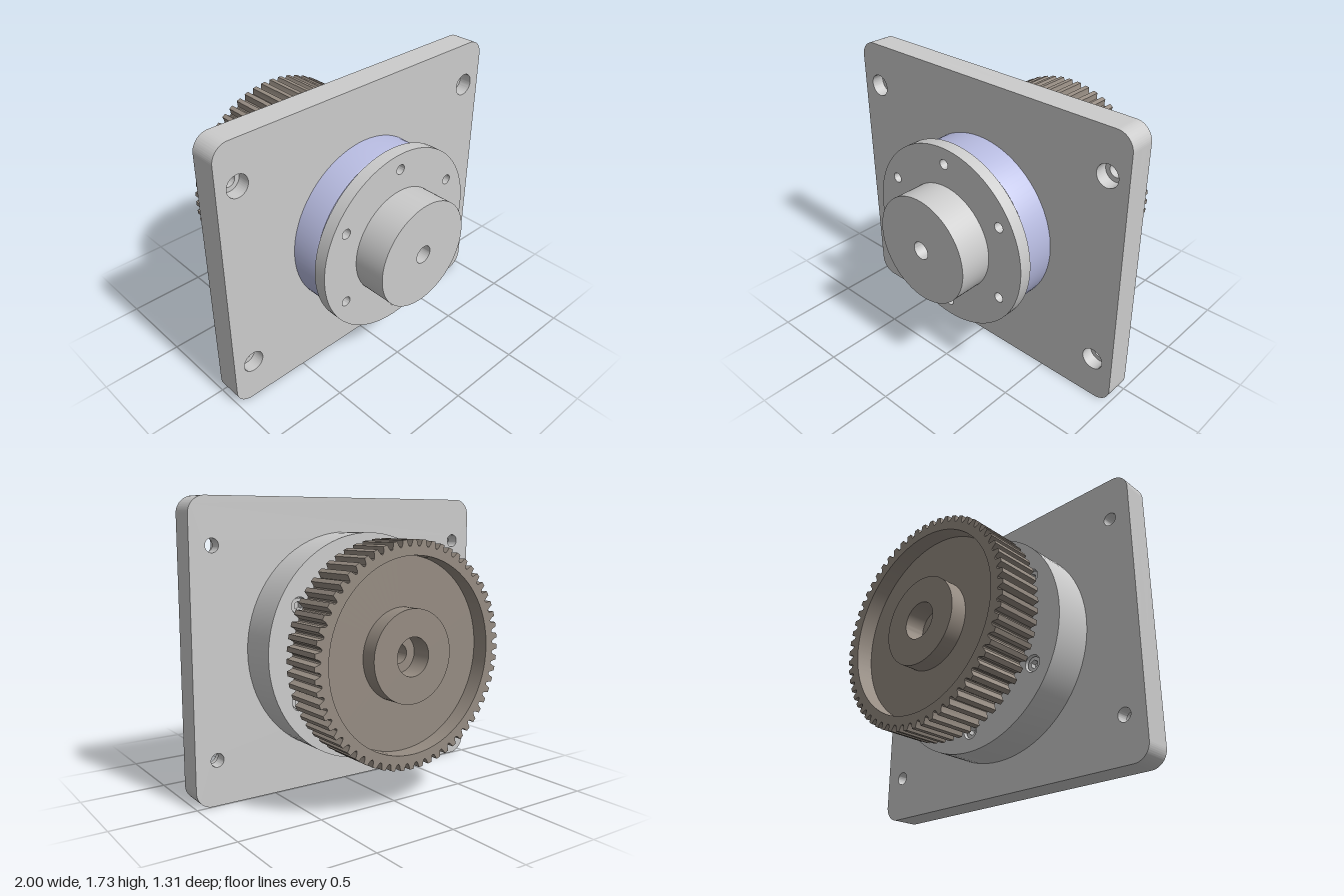
import * as THREE from 'three';
import { toCreasedNormals } from 'three/addons/utils/BufferGeometryUtils.js';

const TAU = Math.PI * 2;
const BORE = 0.055;
const grey = new THREE.MeshStandardMaterial({ color: 0xcccccc });
const lilac = new THREE.MeshStandardMaterial({ color: 0xb6badf });
const brown = new THREE.MeshStandardMaterial({ color: 0x968c82 });

export function createModel() {
  const model = new THREE.Group();
  const axis = new THREE.Group(); // everything is laid out around the shaft axis
  axis.name = 'driveAssembly';
  axis.position.y = 0.867;
  model.add(axis);

  const add = (name, geometry, material, parent = axis) => {
    const mesh = new THREE.Mesh(toCreasedNormals(geometry, 0.5), material);
    mesh.name = name;
    parent.add(mesh);
    return mesh;
  };
  const circle = (r, x = 0, y = 0) => new THREE.Shape().absarc(x, y, r, 0, TAU, false);
  const hole = (shape, r, x = 0, y = 0) => shape.holes.push(new THREE.Path().absarc(x, y, r, 0, TAU, true));
  const slab = (shape, z0, z1) => new THREE.ExtrudeGeometry(shape, {
    depth: z1 - z0, bevelEnabled: false, curveSegments: 40,
  }).translate(0, 0, z0);
  // closed [radius, z] profile, outer side running toward +z
  const turned = (profile) => new THREE.LatheGeometry(
    [...profile, profile[0]].map(([r, z]) => new THREE.Vector2(r, z)), 80).rotateX(Math.PI / 2);
  const ring6 = (r) => Array.from({ length: 6 }, (_, i) => {
    const a = Math.PI / 6 + i * Math.PI / 3;
    return [r * Math.cos(a), r * Math.sin(a)];
  });

  // Mounting plate in two layers, so the corner holes are counterbored
  const plateShape = (cornerHole) => {
    const w = 1, h = 0.867, r = 0.1, s = new THREE.Shape();
    s.absarc(w - r, h - r, r, 0, TAU / 4, false);
    s.absarc(-w + r, h - r, r, TAU / 4, TAU / 2, false);
    s.absarc(-w + r, -h + r, r, TAU / 2, TAU * 0.75, false);
    s.absarc(w - r, -h + r, r, TAU * 0.75, TAU, false);
    s.closePath();
    for (const x of [-0.867, 0.867]) for (const y of [-0.6, 0.6]) hole(s, cornerHole, x, y);
    hole(s, 0.53);
    return s;
  };
  add('plateBack', slab(plateShape(0.04), 0.003, 0.085), grey);
  add('plateFront', slab(plateShape(0.067), 0.085, 0.163), grey);

  // Bearing body with small rounded edge
  add('bearing', turned([[BORE, -0.15], [0.53, -0.15], [0.53, 0.333], [0.5265, 0.3415],
    [0.518, 0.345], [BORE, 0.345]]), lilac);

  // Rear housing with six recessed screws
  const housing = circle(0.665);
  hole(housing, BORE);
  ring6(0.54).forEach(([x, y]) => hole(housing, 0.05, x, y));
  add('housing', slab(housing, -0.24, 0.003), grey);

  const hexHead = circle(0.043);
  const hex = new THREE.Path();
  hex.setFromPoints(ring6(0.025).reverse().map(([x, y]) => new THREE.Vector2(x, y)));
  hexHead.holes.push(hex);
  ring6(0.54).forEach(([x, y]) => {
    const screw = new THREE.Group();
    screw.name = 'housingScrew';
    screw.position.set(x, y, 0);
    add('screwSocket', slab(hexHead, -0.225, -0.19), grey, screw);
    add('screwBody', slab(circle(0.05), -0.19, -0.15), grey, screw);
    axis.add(screw);
  });

  // Output neck, drilled flange and hub
  add('neck', turned([[BORE, 0.345], [0.365, 0.345], [0.365, 0.376], [BORE, 0.376]]), grey);
  const flange = circle(0.565);
  hole(flange, BORE);
  ring6(0.467).forEach(([x, y]) => hole(flange, 0.03, x, y));
  add('outputFlange', slab(flange, 0.375, 0.453), grey);
  add('outputHub', turned([[BORE, 0.453], [0.33, 0.453], [0.33, 0.655], [BORE, 0.655]]), grey);

  // Claw coupling: grey jaws above and below, brown tongue across
  const R = 0.265, a = Math.asin(0.135 / R);
  add('couplingBase', turned([[BORE, -0.25], [R, -0.25], [R, -0.24], [BORE, -0.24]]), grey);
  for (const turn of [0, Math.PI]) {
    const jaw = new THREE.Shape().absarc(0, 0, R, a, Math.PI - a, false);
    jaw.closePath();
    add('couplingJaw', slab(jaw, -0.32, -0.25), grey).rotation.z = turn;
  }
  const tongue = new THREE.Shape();
  tongue.absarc(0, 0, R, -a, a, false);
  tongue.absarc(0, 0, R, Math.PI - a, Math.PI + a, false);
  tongue.closePath();
  hole(tongue, BORE);
  add('couplingTongue', slab(tongue, -0.32, -0.25), brown);

  // Toothed pulley rim
  const teeth = 60;
  const tooth = [[0, 0.635], [0.4, 0.635], [0.48, 0.615], [0.58, 0.601], [0.7, 0.597], [0.82, 0.601], [0.92, 0.615]];
  const outline = [];
  for (let i = 0; i < teeth; i++) {
    for (const [t, r] of tooth) {
      const angle = (i + t - 0.2) / teeth * TAU;
      outline.push(new THREE.Vector2(r * Math.cos(angle), r * Math.sin(angle)));
    }
  }
  const rim = new THREE.Shape(outline);
  hole(rim, 0.55);
  add('pulleyRim', slab(rim, -0.655, -0.38), brown);

  // Pulley web, raised hub and stepped bore
  add('pulleyWeb', turned([[0.11, -0.655], [R, -0.655], [R, -0.555], [0.55, -0.555], [0.55, -0.38],
    [R, -0.38], [R, -0.32], [BORE, -0.32], [BORE, -0.53], [0.11, -0.53]]), brown);

  return model;
}
